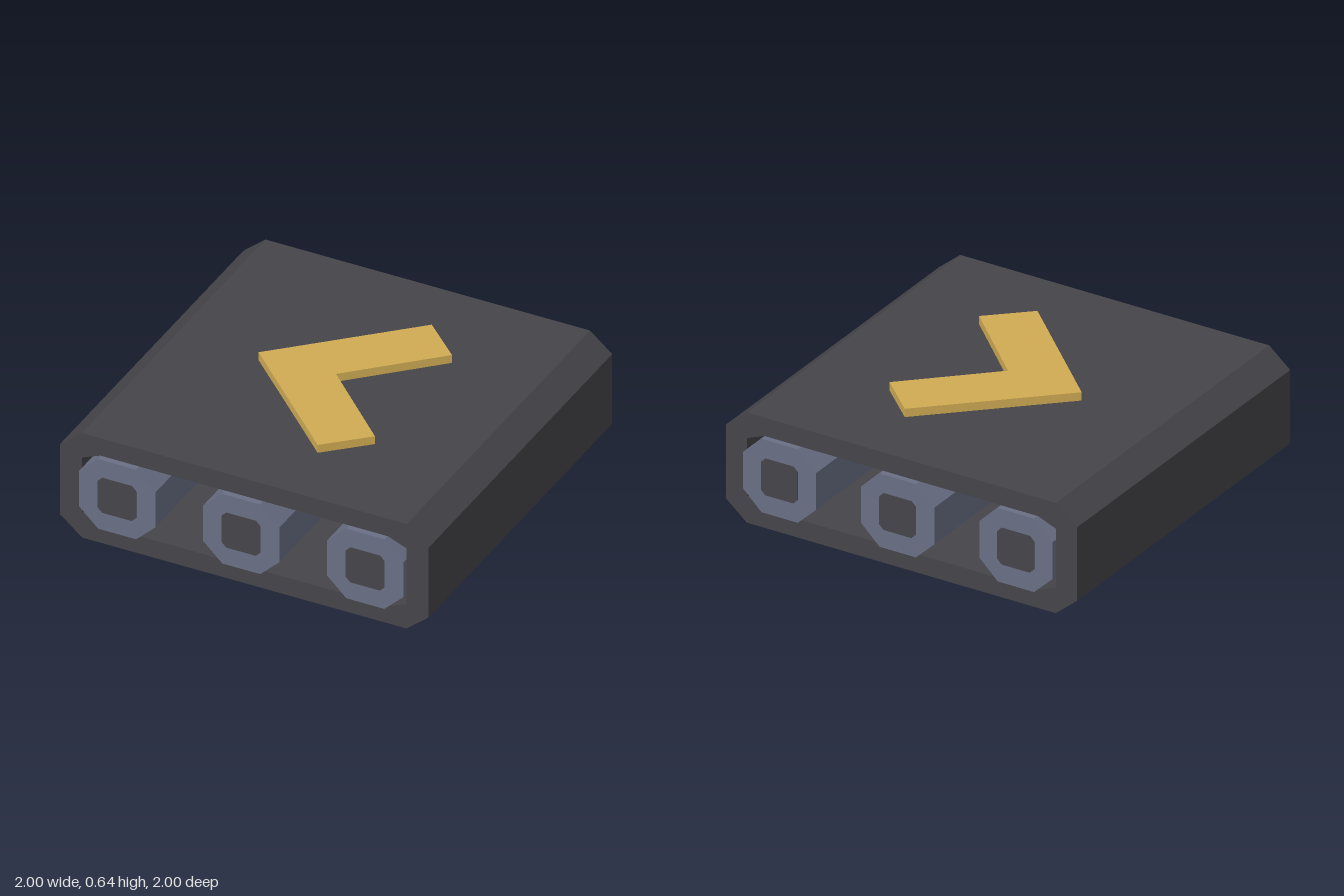
import * as THREE from 'three';

const flat = (name, color) => {
  const m = new THREE.MeshStandardMaterial({ color });
  m.name = name;
  return m;
};

// Rectangle with cut corners, centred on the origin
const chamfered = (w, h, cx, cy, Type = THREE.Shape) => new Type([
  [w, h - cy], [w - cx, h], [cx - w, h], [-w, h - cy],
  [-w, cy - h], [cx - w, -h], [w - cx, -h], [w, cy - h],
].map(([x, y]) => new THREE.Vector2(x, y)));

// Extrusion centred along z
const extrude = (shape, depth) =>
  new THREE.ExtrudeGeometry(shape, { depth, bevelEnabled: false }).translate(0, 0, -depth / 2);

export function createModel() {
  const dark = flat('dark rubber', 0x454449);
  const steel = flat('blue grey steel', 0x6a6f85);
  const yellow = flat('arrow yellow', 0xcfab53);
  const model = new THREE.Group();
  model.name = 'conveyor';

  const add = (name, geometry, material, x, y, z) => {
    const mesh = new THREE.Mesh(geometry, material);
    mesh.name = name;
    mesh.position.set(x, y, z);
    model.add(mesh);
  };

  // Belt loop, open at front and back
  const loop = chamfered(1, 0.3, 0.12, 0.1);
  loop.holes.push(chamfered(0.88, 0.2, 0.1, 0.04, THREE.Path));
  add('belt', extrude(loop, 1.93), dark, 0, 0.3, 0);

  // Octagonal rollers with dark axle caps at both ends
  const roller = extrude(chamfered(0.208, 0.2, 0.105, 0.1), 1.994);
  const cap = extrude(chamfered(0.105, 0.1, 0.025, 0.025), 0.006);
  for (const x of [-0.673, 0, 0.673]) {
    add('roller', roller, steel, x, 0.3, 0);
    for (const side of [-1, 1]) add('axleCap', cap, dark, x, 0.3, side * 0.997);
  }

  // Direction arrow lying on the belt, pointing to -x
  const chevron = new THREE.Shape([
    [-0.42, 0], [0.21, -0.6], [0.42, -0.405], [0, 0], [0.42, 0.405], [0.21, 0.6],
  ].map(([x, y]) => new THREE.Vector2(x, y)));
  add('directionArrow', extrude(chevron, 0.045).rotateX(-Math.PI / 2), yellow, 0, 0.6225, 0);

  return model;
}
